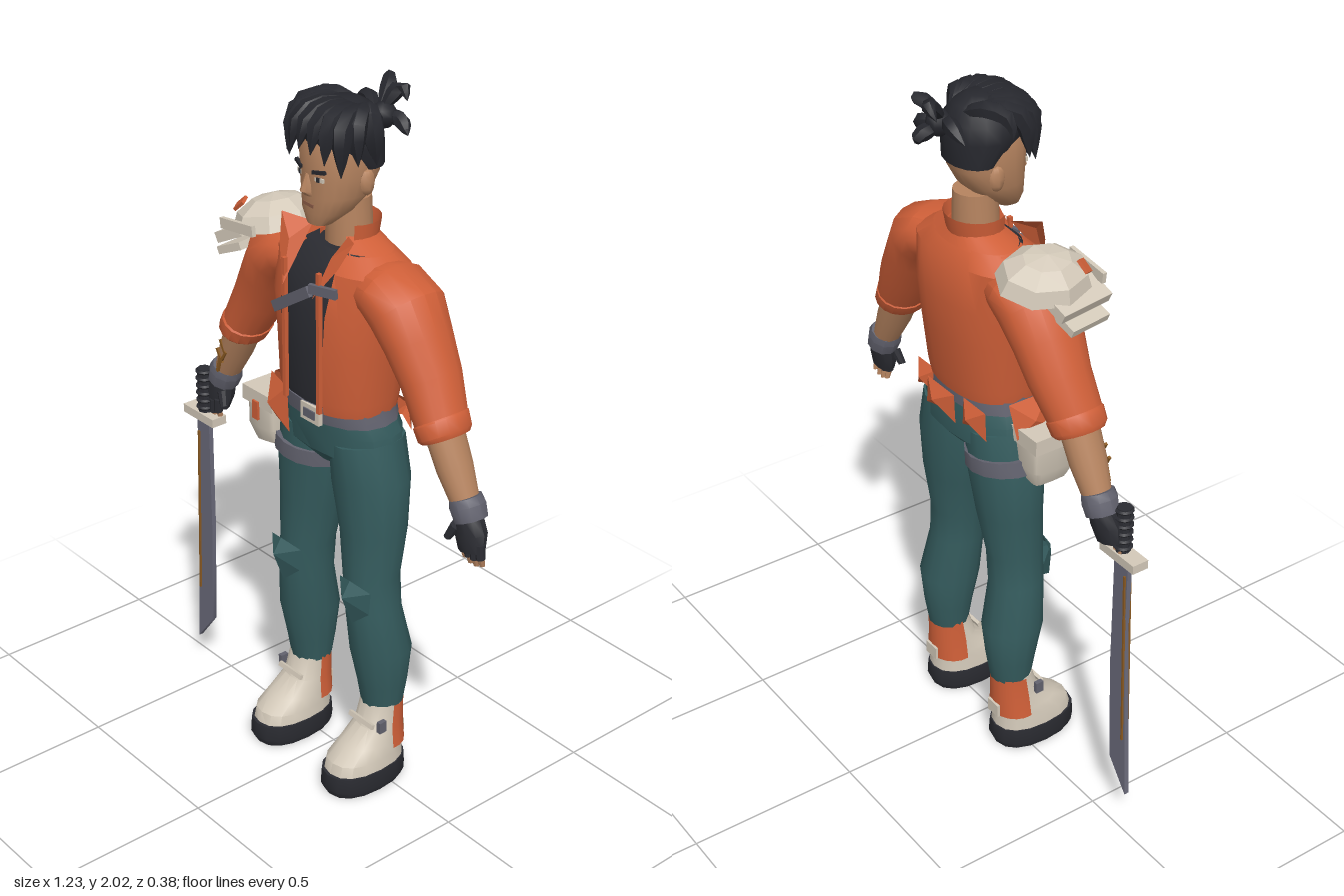
import * as THREE from 'three';
import { toCreasedNormals } from 'three/addons/utils/BufferGeometryUtils.js';

const C = 0.025; // body centre line
const material = (name, color, side = THREE.FrontSide) => {
  const m = new THREE.MeshStandardMaterial({ color, side });
  m.name = name;
  return m;
};

export function createModel() {
  const root = new THREE.Group();
  root.name = 'swordFighter';
  const D = THREE.DoubleSide;
  const skin = material('skin', 0xb5835f), orange = material('orange cloth', 0xcf5f38, D);
  const teal = material('teal cloth', 0x355c5e, D), cream = material('cream armour', 0xd3c9b9, D);
  const dark = material('dark cloth', 0x2b2c32), hairMat = material('hair', 0x26272d);
  const grey = material('grey strap', 0x62626e), steel = material('steel', 0x6a6a7a);
  const gold = material('gold ink', 0x8a5a22), lip = material('lips', 0x8f5f4a);

  const add = (name, geo, mat, parent = root, crease = 0.65) => {
    const mesh = new THREE.Mesh(toCreasedNormals(geo, crease), mat);
    mesh.name = name;
    parent.add(mesh);
    return mesh;
  };
  const fromTriangles = (pos, idx) => {
    const g = new THREE.BufferGeometry();
    g.setAttribute('position', new THREE.Float32BufferAttribute(pos, 3));
    g.setIndex(idx);
    return g;
  };
  // Skin over rings [x, y, z, width radius, depth radius]; path runs downwards, arc in degrees
  const loft = (rings, { n = 16, p = 1, arc = null } = {}) => {
    const pos = [], idx = [], [a0, a1] = arc || [0, 360];
    const pow = v => Math.sign(v) * Math.abs(v) ** p;
    rings.forEach(([x, y, z, ru, rz], i) => {
      const a = rings[Math.max(i - 1, 0)], b = rings[Math.min(i + 1, rings.length - 1)];
      const t = new THREE.Vector2(b[0] - a[0], b[1] - a[1]).normalize();
      for (let j = 0; j <= n; j++) {
        const th = (a0 + (a1 - a0) * j / n) * Math.PI / 180;
        const u = ru * pow(Math.cos(th));
        pos.push(x - t.y * u, y + t.x * u, z + rz * pow(Math.sin(th)));
      }
    });
    for (let i = 0; i < rings.length - 1; i++) for (let j = 0; j < n; j++) {
      const a = i * (n + 1) + j, d = a + n + 1;
      idx.push(a, a + 1, d, a + 1, d + 1, d);
    }
    if (!arc) [0, rings.length - 1].forEach(i => {
      const c = pos.length / 3, s = i * (n + 1);
      pos.push(...rings[i].slice(0, 3));
      for (let j = 0; j < n; j++) i ? idx.push(c, s + j, s + j + 1) : idx.push(c, s + j + 1, s + j);
    });
    return fromTriangles(pos, idx);
  };
  // Faceted plate: outline fanned around a raised centre
  const facet = (name, pts, centre, mat) => {
    const idx = pts.map((_, i) => [0, i + 1, (i + 1) % pts.length + 1]).flat();
    return add(name, fromTriangles([centre, ...pts].flat(), idx), mat, root, 0.1);
  };
  const box = (name, size, at, mat, rot = [0, 0, 0], parent = root) => {
    const m = add(name, new THREE.BoxGeometry(...size), mat, parent);
    m.position.set(...at);
    m.rotation.set(...rot);
    return m;
  };
  // Tapered strand along a curve
  const strand = (name, pts, r, mat, parent, flat = 1) => {
    const curve = new THREE.CatmullRomCurve3(pts.map(q => new THREE.Vector3(...q)));
    const N = 8, R = 6, g = new THREE.TubeGeometry(curve, N, r, R), pos = g.attributes.position;
    const v = new THREE.Vector3();
    for (let k = 0; k < pos.count; k++) {
      const t = Math.floor(k / (R + 1)) / N, c = curve.getPointAt(t);
      v.fromBufferAttribute(pos, k).sub(c).multiplyScalar(Math.max(Math.sin(Math.PI * t ** 1.3), 0.02));
      v.y *= flat;
      v.add(c);
      pos.setXYZ(k, v.x, v.y, v.z);
    }
    return add(name, g, mat, parent, 0.9);
  };

  // Torso: shirt under an open jacket
  const torso = [[C, 1.605, -0.025, 0.15, 0.085], [C, 1.565, -0.018, 0.215, 0.122], [C, 1.45, -0.01, 0.205, 0.145],
    [C, 1.34, -0.006, 0.187, 0.142], [C, 1.2, 0, 0.178, 0.132], [C, 1.165, 0, 0.172, 0.126]];
  add('shirt', loft(torso.map(([x, y, z, a, b]) => [x, y, z, a * 0.94, b * 0.93]), { p: 0.85 }), dark);
  add('jacket', loft(torso, { n: 24, p: 0.85, arc: [112, 428] }), orange);
  add('jacketShoulders', loft([[C, 1.635, -0.035, 0.075, 0.062], [C, 1.6, -0.028, 0.16, 0.09]], { n: 20, arc: [125, 415] }), orange);
  add('collar', loft([[C, 1.67, -0.035, 0.088, 0.08], [C, 1.59, -0.03, 0.08, 0.07]], { n: 14, arc: [145, 395] }), orange);
  for (const s of [1, -1]) {
    const P = (x, y, z) => [C + s * x, y, z];
    facet('lapel', [P(0.07, 1.645, 0.03), P(0.145, 1.662, 0.075), P(0.118, 1.59, 0.105), P(0.06, 1.5, 0.143)],
      P(0.085, 1.61, 0.1), orange);
    box('jacketEdge', [0.012, 0.4, 0.012], P(0.07, 1.37, 0.128), orange);
  }
  box('chestStrapLong', [0.17, 0.03, 0.012], [0.0, 1.472, 0.142], grey, [0, 0, 0.56]);
  box('chestStrapShort', [0.085, 0.026, 0.012], [0.113, 1.527, 0.13], grey, [0, 0.25, 0.04]);

  // Hips and belt
  add('hips', loft([[C, 1.17, 0, 0.165, 0.115], [C, 1.1, -0.012, 0.197, 0.118], [C, 1.03, -0.015, 0.2, 0.115],
    [C, 0.98, -0.015, 0.09, 0.07]], { p: 0.9 }), teal);
  add('belt', loft([[C, 1.18, 0, 0.172, 0.124], [C, 1.132, -0.004, 0.184, 0.122]], { p: 0.9 }), grey);
  box('buckle', [0.075, 0.05, 0.014], [0.055, 1.155, 0.122], cream);
  box('buckleCentre', [0.045, 0.024, 0.008], [0.055, 1.155, 0.129], grey);

  // Orange cloth folds around the waist
  facet('frontFold', [[-0.155, 1.19, 0.09], [-0.05, 1.19, 0.12], [-0.045, 1.055, 0.118], [-0.1, 1.085, 0.12], [-0.16, 1.1, 0.08]],
    [-0.105, 1.13, 0.145], orange);
  for (const [x, z, w] of [[-0.1, -0.125, 0.05], [0.035, -0.14, 0.062], [0.15, -0.105, 0.045]])
    facet('backFold', [[x - w, 1.17, z], [x + w, 1.17, z], [x + w * 1.1, 1.085, z], [x, 1.11, z - 0.01], [x - w * 1.1, 1.085, z]],
      [x, 1.135, z - 0.03], orange);
  facet('sideFold', [[-0.165, 1.18, -0.06], [-0.165, 1.18, 0.07], [-0.19, 1.08, 0.08], [-0.19, 1.08, -0.05]], [-0.205, 1.13, 0], orange);

  // Hip pouch and thigh strap
  add('pouch', loft([[-0.203, 1.11, 0.03, 0.06, 0.07], [-0.203, 1.0, 0.03, 0.06, 0.07], [-0.195, 0.955, 0.03, 0.047, 0.055]],
    { n: 16, p: 0.35 }), cream);
  box('pouchLid', [0.13, 0.045, 0.15], [-0.203, 1.09, 0.03], cream);
  box('pouchTab', [0.024, 0.055, 0.008], [-0.207, 1.055, 0.107], orange);
  add('thighStrap', loft([[-0.087, 1.0, -0.012, 0.117, 0.115], [-0.092, 0.955, -0.012, 0.12, 0.115]]), grey);

  for (const s of [1, -1]) {
    const M = rings => rings.map(([x, ...r]) => [C + s * x, ...r]);
    const P = (x, y, z) => [C + s * x, y, z];

    // Trouser leg and knee pad
    add('trouserLeg', loft(M([[0.1, 1.07, -0.012, 0.098, 0.108], [0.115, 0.95, -0.015, 0.112, 0.106], [0.13, 0.8, -0.013, 0.096, 0.092],
      [0.138, 0.66, 0, 0.076, 0.082], [0.146, 0.56, 0, 0.076, 0.08], [0.157, 0.42, -0.02, 0.084, 0.09],
      [0.158, 0.31, -0.026, 0.07, 0.072], [0.158, 0.24, -0.026, 0.06, 0.06]]), { n: 14 }), teal);
    facet('kneePad', [P(0.085, 0.655, 0.07), P(0.15, 0.675, 0.09), P(0.215, 0.655, 0.07), P(0.208, 0.585, 0.07),
      P(0.15, 0.535, 0.082), P(0.092, 0.585, 0.07)], P(0.15, 0.63, 0.118), teal);

    // Boot
    add('boot', loft(M([[0.16, 0.25, -0.022, 0.058, 0.054], [0.16, 0.18, -0.01, 0.062, 0.064], [0.161, 0.135, 0.02, 0.07, 0.094],
      [0.162, 0.1, 0.043, 0.077, 0.118], [0.162, 0.05, 0.047, 0.08, 0.128]]), { p: 0.85 }), cream);
    add('sole', loft(M([[0.162, 0.068, 0.048, 0.083, 0.131], [0.162, 0.02, 0.048, 0.086, 0.134], [0.162, 0, 0.048, 0.078, 0.125]]),
      { p: 0.85 }), dark);
    add('heelWrap', loft(M([[0.16, 0.25, -0.024, 0.063, 0.06], [0.16, 0.18, -0.016, 0.067, 0.067], [0.161, 0.115, -0.014, 0.075, 0.07]]),
      { n: 10, arc: [172, 368] }), orange);
    box('heelPatch', [0.05, 0.04, 0.008], P(0.16, 0.135, -0.085), cream);
    box('bootBuckle', [0.014, 0.035, 0.025], P(0.222, 0.2, 0.03), grey);
    box('bootStrap', [0.1, 0.014, 0.01], P(0.16, 0.2, 0.052), cream, [-0.3, 0, 0]);

    // Sleeve with rolled cuff
    add('sleeve', loft(M([[0.11, 1.525, -0.015, 0.06, 0.085], [0.19, 1.523, -0.015, 0.08, 0.11], [0.25, 1.49, -0.014, 0.09, 0.112],
      [0.295, 1.42, -0.014, 0.08, 0.1], [0.345, 1.335, -0.014, 0.075, 0.088], [0.41, 1.222, 0, 0.06, 0.076]])), orange);
    add('cuff', loft(M([[0.392, 1.25, -0.003, 0.06, 0.074], [0.398, 1.242, -0.002, 0.066, 0.082],
      [0.416, 1.21, 0, 0.064, 0.079], [0.421, 1.2, 0, 0.056, 0.07]])), orange);

    // Forearm, wrist band and gloved hand
    add('forearm', loft(M([[0.405, 1.23, 0, 0.05, 0.056], [0.455, 1.13, 0, 0.046, 0.052], [0.507, 1.03, 0, 0.034, 0.038]])), skin);
    add('wristBand', loft(M([[0.498, 1.06, 0, 0.044, 0.046], [0.507, 1.04, 0, 0.05, 0.05], [0.522, 1.005, 0, 0.046, 0.046]]), { n: 10 }), grey);
    add('palm', loft(M([[0.515, 1.015, 0, 0.036, 0.036], [0.53, 0.97, 0.006, 0.05, 0.036], [0.538, 0.925, 0.01, 0.042, 0.028]]),
      { n: 10 }), dark);
    for (let f = 0; f < 4; f++) {
      const x = 0.508 + f * 0.021, y = 0.935 - (f === 0 || f === 3 ? 0 : 0.008), z = s > 0 ? 0.012 : 0.03;
      add('gloveFinger', loft(M([[x, y + 0.02, z, 0.012, 0.014], [x + 0.003, y - 0.022, z, 0.012, 0.013]]), { n: 8 }), dark);
      add('fingertip', loft(M([[x + 0.002, y - 0.015, z, 0.0095, 0.011], [x + 0.002, y - 0.045, z - 0.008, 0.007, 0.008]]), { n: 8 }), skin);
    }
    add('thumb', loft(M([[0.495, 0.985, 0.025, 0.016, 0.016], [0.475, 0.945, 0.035, 0.011, 0.012]]), { n: 8 }), dark);
  }

  // Forearm ink
  for (const [x, y, r, len] of [[-0.43, 1.15, 0.5, 0.04], [-0.425, 1.12, -0.6, 0.04], [-0.445, 1.115, 0.5, 0.045], [-0.45, 1.085, -0.3, 0.05]])
    box('forearmInk', [0.008, len, 0.008], [x, y, 0.049], gold, [0, 0, r]);

  // Shoulder armour on the right arm
  const dome = add('shoulderGuard', new THREE.SphereGeometry(1, 8, 3, 0, Math.PI * 2, 0, Math.PI / 2)
    .scale(0.115, 0.085, 0.133), cream, root, 0.1);
  dome.position.set(-0.238, 1.57, -0.008);
  dome.rotation.z = 0.2;
  box('guardRim', [0.14, 0.03, 0.012], [-0.255, 1.585, 0.118], cream, [0, 0, 0.12]);
  box('guardPlate', [0.1, 0.03, 0.17], [-0.31, 1.55, 0.035], cream, [0, 0.15, 0.45]);
  box('guardPlateLower', [0.09, 0.022, 0.13], [-0.325, 1.5, 0.04], cream, [0, 0.15, 0.4]);
  box('guardTab', [0.04, 0.009, 0.03], [-0.31, 1.622, 0.065], orange, [0.35, 0.5, 0.6]);

  // Sword
  const blade = new THREE.Shape([[-0.57, 0.88], [-0.513, 0.88], [-0.513, 0.5], [-0.527, 0.18], [-0.6, 0.085], [-0.585, 0.35], [-0.568, 0.65]]
    .map(q => new THREE.Vector2(...q)));
  add('blade', new THREE.ExtrudeGeometry(blade, { depth: 0.014, bevelEnabled: false }).translate(0, 0, 0.032), steel);
  for (const z of [0.03, 0.048]) box('bladeInlay', [0.006, 0.55, 0.006], [-0.57, 0.55, z], gold, [0, 0, -0.035]);
  box('guard', [0.14, 0.026, 0.05], [-0.545, 0.885, 0.036], cream);
  const grip = add('grip', new THREE.CylinderGeometry(0.021, 0.021, 0.14, 8), dark);
  grip.position.set(-0.541, 0.965, 0.036);
  for (let i = 0; i < 6; i++) {
    const ring = add('gripWrap', new THREE.TorusGeometry(0.021, 0.006, 5, 10).rotateX(Math.PI / 2), dark);
    ring.position.set(-0.541, 0.912 + i * 0.023, 0.036);
  }

  // Head, turned slightly to its right
  const head = new THREE.Group();
  head.name = 'head';
  head.position.x = C;
  head.rotation.y = -0.1;
  root.add(head);
  add('neck', loft([[0, 1.73, -0.03, 0.058, 0.06], [0, 1.57, -0.03, 0.068, 0.064]]), skin, head);
  add('skull', loft([[0, 1.97, -0.005, 0.04, 0.05], [0, 1.93, -0.005, 0.08, 0.09], [0, 1.86, -0.003, 0.094, 0.104], [0, 1.8, 0, 0.091, 0.1],
    [0, 1.75, 0.012, 0.084, 0.085], [0, 1.705, 0.038, 0.064, 0.06], [0, 1.672, 0.06, 0.034, 0.032]], { n: 20, p: 0.85 }), skin, head, 1);
  add('nose', loft([[0, 1.81, 0.095, 0.008, 0.008], [0, 1.765, 0.1, 0.018, 0.02], [0, 1.752, 0.095, 0.016, 0.01]], { n: 8 }), skin, head);
  box('mouth', [0.045, 0.009, 0.008], [0, 1.726, 0.094], lip, [0, 0, 0], head);
  for (const s of [1, -1]) {
    box('eyeWhite', [0.028, 0.011, 0.006], [s * 0.043, 1.803, 0.091], cream, [0, s * 0.2, 0], head);
    box('iris', [0.011, 0.012, 0.006], [s * 0.041, 1.803, 0.093], dark, [0, s * 0.2, 0], head);
    box('brow', [0.042, 0.009, 0.009], [s * 0.045, 1.824, 0.094], hairMat, [0, s * 0.25, s * 0.15], head);
    const ear = add('ear', new THREE.SphereGeometry(1, 8, 6).scale(0.012, 0.035, 0.022), skin, head, 1);
    ear.position.set(s * 0.095, 1.79, -0.02);
  }

  // Hair: cap, swept locks and a tied knot
  add('hairCap', loft([[0, 1.99, -0.01, 0.035, 0.04], [0, 1.97, -0.008, 0.07, 0.078], [0, 1.93, -0.006, 0.1, 0.107],
    [0, 1.885, -0.012, 0.104, 0.106], [0, 1.82, -0.045, 0.094, 0.068]]), hairMat, head, 1);
  const tips = [[-0.14, 1.91, 0], [-0.135, 1.85, 0.05], [-0.105, 1.825, 0.085], [-0.075, 1.85, 0.11], [-0.045, 1.865, 0.12], [0, 1.88, 0.125],
    [0.045, 1.875, 0.12], [0.085, 1.855, 0.105], [0.115, 1.825, 0.075], [0.125, 1.85, 0.03], [0.12, 1.84, -0.03]];
  for (const [x, y, z] of tips)
    strand('hairLock', [[0.02, 1.93, -0.1], [x * 0.55, 1.975, -0.035 + z * 0.3], [x * 0.85, 1.955, z * 0.75], [x, y, z]], 0.03, hairMat, head, 0.8);
  const knot = add('hairKnot', new THREE.SphereGeometry(0.036, 8, 6), hairMat, head, 1);
  knot.position.set(0.015, 1.925, -0.125);
  for (const [x, y, z] of [[-0.13, 1.92, -0.13], [-0.07, 1.97, -0.175], [0.03, 1.87, -0.175], [0.1, 1.89, -0.14], [0.06, 1.965, -0.165]])
    strand('knotTuft', [[0.015, 1.92, -0.1], [x * 0.5, y + 0.03, z - 0.005], [x, y, z]], 0.022, hairMat, head);

  return root;
}
